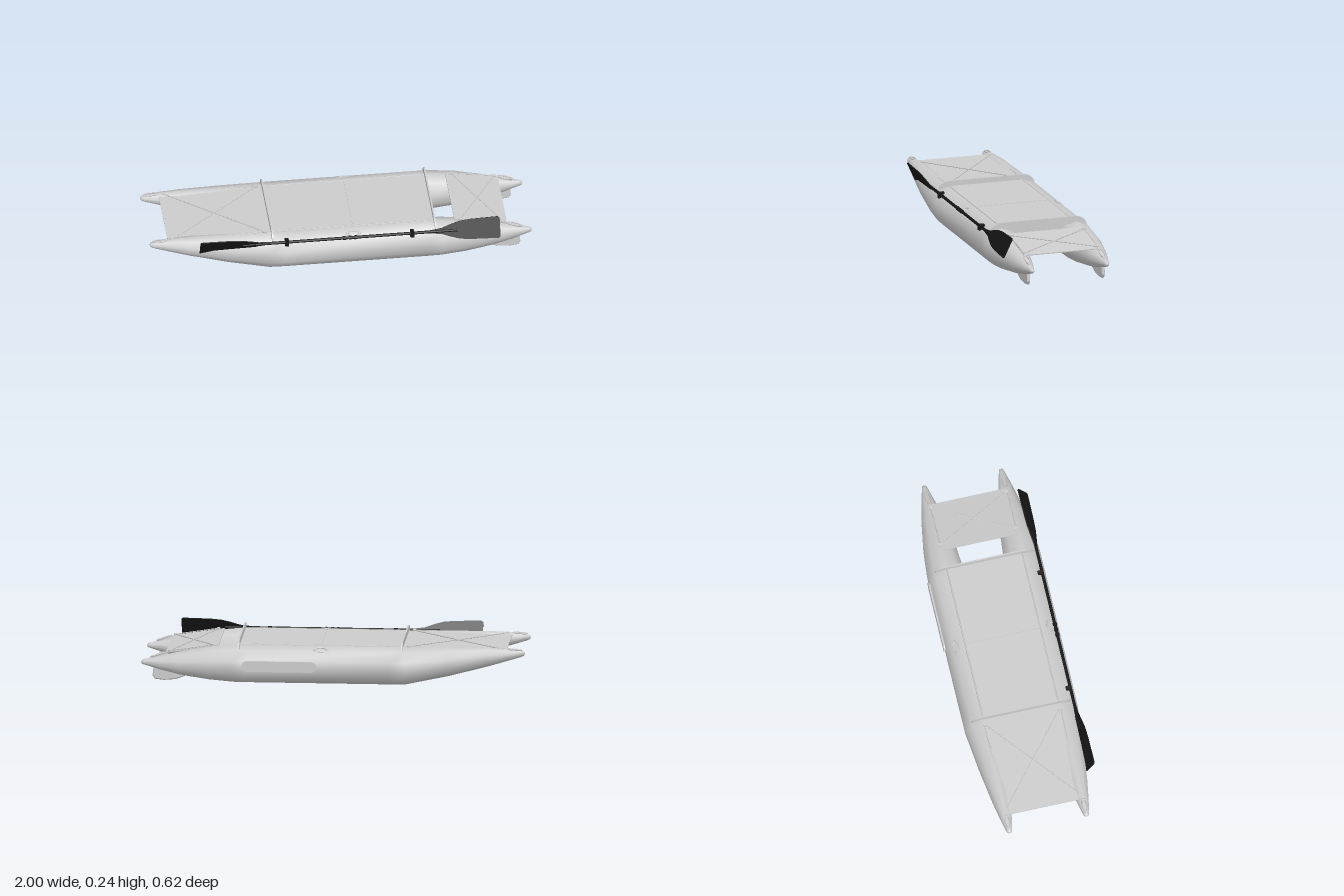
import * as THREE from 'three';

const grey = new THREE.MeshStandardMaterial({ color: 0xcccccc, side: THREE.DoubleSide });
const black = new THREE.MeshStandardMaterial({ color: 0x161616, side: THREE.DoubleSide });
const V = (x, y, z) => new THREE.Vector3(x, y, z);

function add(parent, name, geo, mat = grey, pos = [0, 0, 0]) {
  const m = new THREE.Mesh(geo, mat);
  m.name = name;
  m.position.set(...pos);
  parent.add(m);
  return m;
}

// Thin round bar between two points
function bar(parent, name, a, b, r, mat = grey, sides = 6) {
  const m = add(parent, name, new THREE.CylinderGeometry(r, r, a.distanceTo(b), sides), mat);
  m.position.copy(a).add(b).multiplyScalar(0.5);
  m.quaternion.setFromUnitVectors(V(0, 1, 0), b.clone().sub(a).normalize());
  return m;
}

// Flat outline extruded symmetrically about z = 0
function plate(points, depth, bevel = 0) {
  const s = new THREE.Shape(points.map(p => new THREE.Vector2(...p)));
  const g = new THREE.ExtrudeGeometry(s, {
    depth: depth, bevelEnabled: bevel > 0, bevelSize: bevel, bevelThickness: bevel, bevelSegments: 1,
  });
  return g.translate(0, 0, -depth / 2);
}

// Ten-sided tube lofted along x; stations are [x, centre height, radius]
function hullGeometry() {
  const stations = [
    [-1, 0.176, 0.002], [-0.997, 0.176, 0.011], [-0.98, 0.175, 0.018], [-0.9, 0.166, 0.034],
    [-0.8, 0.153, 0.051], [-0.6, 0.126, 0.077], [-0.38, 0.101, 0.099], [-0.3, 0.1, 0.1],
    [0.45, 0.1, 0.1], [0.52, 0.1, 0.099], [0.65, 0.099, 0.087], [0.8, 0.096, 0.061],
    [0.9, 0.097, 0.038], [0.98, 0.1, 0.016], [0.996, 0.1, 0.011], [1, 0.1, 0.002],
  ];
  const n = 10, pos = [], idx = [];
  stations.forEach(([x, y, r], i) => {
    for (let j = 0; j < n; j++) {
      const a = j / n * Math.PI * 2;
      pos.push(x, y + r * Math.cos(a), r * Math.sin(a));
      if (i === 0) continue;
      const k = (j + 1) % n, p = (i - 1) * n, q = i * n;
      idx.push(p + j, p + k, q + j, p + k, q + k, q + j);
    }
  });
  const g = new THREE.BufferGeometry();
  g.setAttribute('position', new THREE.Float32BufferAttribute(pos, 3));
  g.setIndex(idx);
  g.computeVertexNormals();
  return g;
}

// Small carrying loop with its base patch
function loopHandle(parent, name, pos, tiltZ, tiltX, sx, sz) {
  const h = new THREE.Group();
  h.name = name;
  h.position.set(...pos);
  h.rotation.set(tiltX, 0, tiltZ);
  const ring = add(h, 'loop', new THREE.TorusGeometry(1, 0.2, 6, 16).rotateX(Math.PI / 2));
  ring.scale.set(sx, 0.018, sz);
  const base = add(h, 'basePatch', new THREE.CylinderGeometry(1, 1, 0.004, 16), grey, [0, -0.006, 0]);
  base.scale.set(sx * 1.25, 1, sz * 0.8);
  parent.add(h);
}

// Stretched sheet with crossed lacing; runs from (x0,y0) to (x1,y1)
function trampoline(parent, name, x0, y0, x1, y1, inset) {
  const g = new THREE.Group();
  g.name = name;
  const slope = Math.atan2(y1 - y0, x1 - x0);
  const sheet = add(g, 'sheet', new THREE.BoxGeometry(Math.hypot(x1 - x0, y1 - y0), 0.005, 0.41), grey,
    [(x0 + x1) / 2, (y0 + y1) / 2, 0]);
  sheet.rotation.z = slope;
  const at = (x, z) => V(x, y0 + (x - x0) * Math.tan(slope) + 0.006, z);
  const a = x0 + inset[0], b = x1 - inset[1];
  for (const s of [-1, 1]) {
    bar(g, 'crossLacing', at(a, s * 0.2), at(b, -s * 0.2), 0.003);
    bar(g, 'edgeLacing', at(a, s * 0.203), at(b, s * 0.203), 0.0025);
    for (const x of [a, b]) {
      const p = at(x, s * 0.2);
      add(g, 'grommet', new THREE.CylinderGeometry(0.01, 0.01, 0.008, 10), grey, [p.x, p.y, p.z]);
    }
  }
  parent.add(g);
}

export function createModel() {
  const model = new THREE.Group();
  model.name = 'inflatableCatamaran';

  // Hulls with fins and handles
  const hull = hullGeometry();
  const fin = plate([[0.74, 0.06], [0.77, 0.035], [0.82, 0.016], [0.88, 0.011], [0.925, 0.016],
    [0.935, 0.032], [0.93, 0.075], [0.84, 0.085]], 0.007, 0.005);
  for (const s of [-1, 1]) {
    const z = s * 0.205;
    const side = new THREE.Group();
    side.name = s > 0 ? 'frontHull' : 'backHull';
    add(side, 'hullTube', hull, grey, [0, 0, z]);
    add(side, 'fin', fin, grey, [0, 0, z]);
    loopHandle(side, 'bowHandle', [-0.945, 0.196, z], 0.06, 0, 0.035, 0.012);
    loopHandle(side, 'sternHandle', [0.91, 0.141, z], -0.32, 0, 0.038, 0.012);
    loopHandle(side, 'sideHandle', [0.06, 0.187, s * 0.25], 0, s * 0.5, 0.033, 0.016);
    model.add(side);
  }

  // Rub patch on the back hull
  const r = 0.028, patch = new THREE.Shape();
  patch.moveTo(0.08 + r, -r).lineTo(0.47 - r, -r);
  patch.absarc(0.47 - r, 0, r, -Math.PI / 2, Math.PI / 2, false);
  patch.lineTo(0.08 + r, r);
  patch.absarc(0.08 + r, 0, r, Math.PI / 2, Math.PI * 1.5, false);
  add(model, 'rubPatch', new THREE.ExtrudeGeometry(patch, { depth: 0.01, bevelEnabled: false }),
    grey, [0, 0.105, -0.308]);

  // Centre deck in two halves with a seam
  const deck = new THREE.Group();
  deck.name = 'deck';
  for (const [a, b] of [[-0.36, 0.057], [0.063, 0.485]])
    add(deck, 'deckPanel', new THREE.BoxGeometry(b - a, 0.05, 0.4), grey, [(a + b) / 2, 0.176, 0]);
  add(deck, 'deckSeam', new THREE.BoxGeometry(0.012, 0.044, 0.4), grey, [0.06, 0.176, 0]);
  for (const z of [-0.2, 0.2])
    bar(deck, 'deckEdge', V(-0.36, 0.2, z), V(0.485, 0.2, z), 0.004);
  model.add(deck);

  // Arched cross straps over the deck ends
  const half = [[0.2, 0.229], [0.222, 0.226], [0.243, 0.216], [0.257, 0.201], [0.264, 0.181],
    [0.262, 0.17], [0.24, 0.18], [0.2, 0.19]];
  const outline = [...half, ...half.map(([z, y]) => [-z, y]).reverse()];
  const arch = plate(outline, 0.008).rotateY(Math.PI / 2);
  for (const x of [-0.362, 0.489]) add(model, 'crossStrap', arch, grey, [x, 0, 0]);
  for (const z of [0.057, -0.073])
    add(model, 'strapSeam', new THREE.BoxGeometry(0.002, 0.075, 0.002), grey, [0.493, 0.19, z]);

  // Bow and stern trampolines
  trampoline(model, 'bowTrampoline', -0.905, 0.191, -0.36, 0.197, [0.025, 0.035]);
  trampoline(model, 'sternTrampoline', 0.595, 0.195, 0.87, 0.152, [0.032, 0.02]);

  // Double-bladed paddle on the front hull
  const paddle = new THREE.Group();
  paddle.name = 'paddle';
  paddle.position.set(0.04, 0.185, 0.28);
  bar(paddle, 'shaft', V(-0.56, 0, 0), V(0.56, 0, 0), 0.008, black, 10);
  const upper = [[0.42, 0.008], [0.48, 0.016], [0.53, 0.034], [0.575, 0.047], [0.63, 0.053],
    [0.775, 0.057], [0.785, 0.05]];
  const bladeGeo = plate([...upper, ...upper.map(([x, y]) => [x, -y]).reverse()], 0.006);
  for (const s of [0, 1]) {
    const b = add(paddle, 'blade', bladeGeo, black);
    b.rotation.set(s ? 0.45 : -0.45, s * Math.PI, 0);
  }
  for (const x of [-0.33, 0.325])
    add(paddle, 'paddleClip', new THREE.BoxGeometry(0.02, 0.032, 0.032), black, [x, -0.007, -0.008]);
  for (const x of [-0.03, 0, 0.03]) {
    const ferrule = add(paddle, 'ferrule', new THREE.CylinderGeometry(0.011, 0.011, 0.014, 10), black, [x, 0, 0]);
    ferrule.rotation.z = Math.PI / 2;
  }
  model.add(paddle);

  return model;
}
